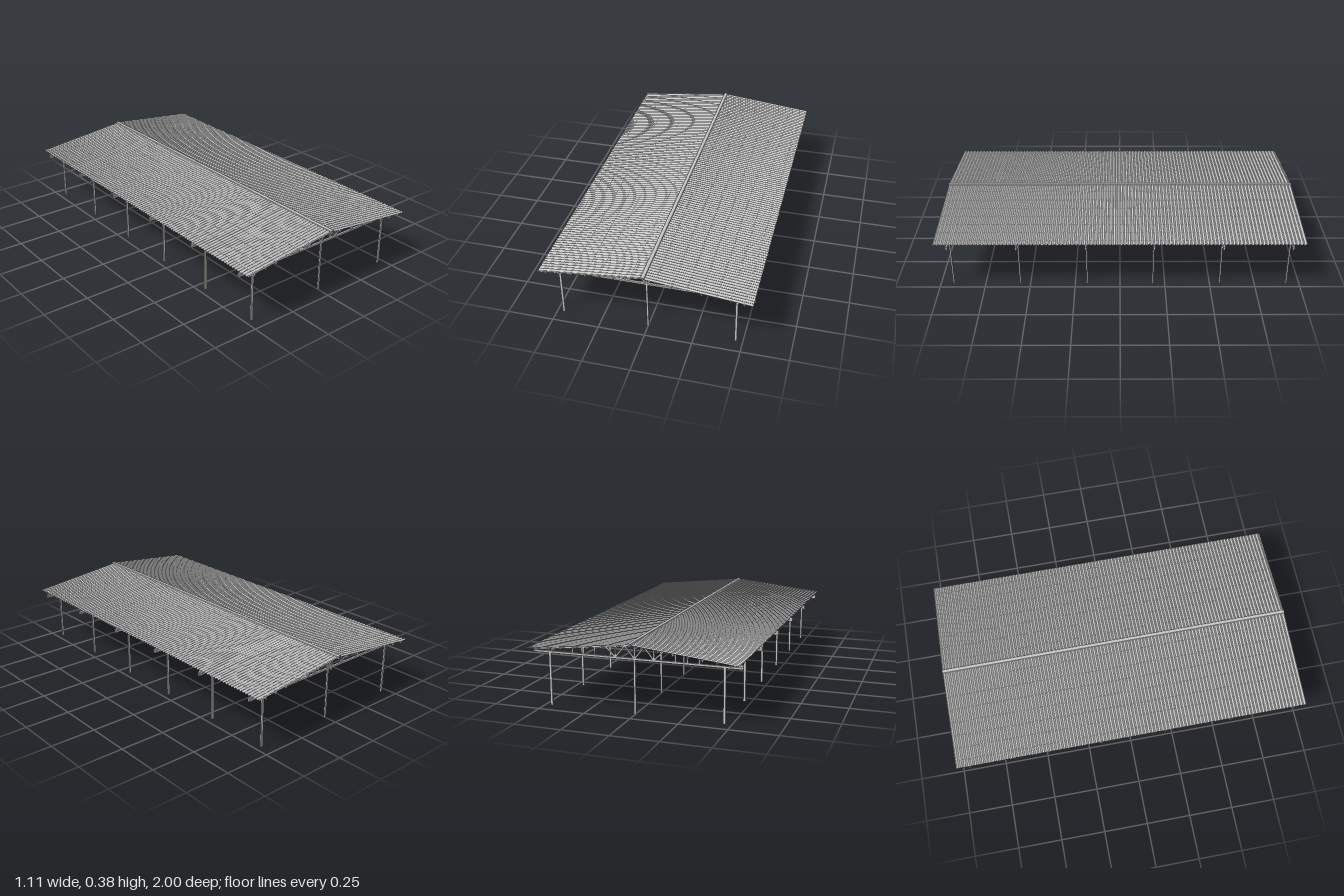
import * as THREE from 'three';

const HALF = 0.555;      // half span
const SLOPE = 0.108;     // roof fall per unit of x
const CHORD_TOP = 0.361; // top of the rafter at the ridge
const SHEET = 0.3695;    // underside of the roof sheet at the ridge
const LENGTH = 2;

export function createModel() {
  const steel = new THREE.MeshStandardMaterial({ color: 0xc8c8c8, side: THREE.DoubleSide });
  steel.name = 'grey steel';
  const model = new THREE.Group();
  model.name = 'openShed';

  const add = (parent, name, geometry, x = 0, y = 0, z = 0) => {
    const mesh = new THREE.Mesh(geometry, steel);
    mesh.name = name;
    mesh.position.set(x, y, z);
    parent.add(mesh);
    return mesh;
  };
  const box = (parent, name, w, h, d, x, y, z) =>
    add(parent, name, new THREE.BoxGeometry(w, h, d), x, y, z);
  // straight bar between two points in the truss plane
  const bar = (parent, name, x1, y1, x2, y2, w, d) => {
    const m = box(parent, name, Math.hypot(x2 - x1, y2 - y1), w, d, (x1 + x2) / 2, (y1 + y2) / 2, 0);
    m.rotation.z = Math.atan2(y2 - y1, x2 - x1);
  };
  const rafterY = (x) => CHORD_TOP - 0.006 - SLOPE * Math.abs(x);

  // rafter pair as one gabled outline
  const rafterShape = new THREE.Shape([
    [-HALF, 0.29], [0, 0.35], [HALF, 0.29],
    [HALF, CHORD_TOP - SLOPE * HALF], [0, CHORD_TOP], [-HALF, CHORD_TOP - SLOPE * HALF],
  ].map(([x, y]) => new THREE.Vector2(x, y)));
  const rafterGeometry = new THREE.ExtrudeGeometry(rafterShape, { depth: 0.009, bevelEnabled: false });
  rafterGeometry.translate(0, 0, -0.0045);

  // six frames: columns, chords and web members
  for (const z of [0.927, 0.556, 0.183, -0.183, -0.556, -0.927]) {
    const frame = new THREE.Group();
    frame.name = 'frame';
    frame.position.z = z;
    model.add(frame);

    for (const x of [-0.463, 0, 0.463])
      box(frame, 'column', x ? 0.012 : 0.01, 0.28, 0.008, x, 0.14, 0);
    box(frame, 'bottomChord', 2 * HALF, 0.009, 0.009, 0, 0.2838, 0);
    box(frame, 'bottomChordFlange', 2 * HALF, 0.0025, 0.011, 0, 0.2885, 0);
    add(frame, 'rafters', rafterGeometry);

    box(frame, 'kingPost', 0.007, 0.07, 0.006, 0, 0.32, 0);
    for (const s of [-1, 1]) {
      for (const x of [0.102, 0.214, 0.275, 0.336])
        bar(frame, 'webPost', s * x, 0.287, s * x, rafterY(x), 0.007, 0.006);
      for (const [top, foot] of [[0.155, 0.104], [0.052, 0.1], [0.052, 0.003]])
        bar(frame, 'webDiagonal', s * top, rafterY(top), s * foot, 0.289, 0.007, 0.006);
    }
  }

  // purlins along the whole length, resting on the rafters
  for (const x of [0.51, 0.442, 0.373, 0.298, 0.224, 0.149, 0.063]) {
    for (const s of [-1, 1])
      box(model, 'purlin', 0.006, 0.0105, LENGTH, s * x, (CHORD_TOP + SHEET) / 2 - SLOPE * x, 0);
  }
  box(model, 'ridgePurlin', 0.005, 0.011, LENGTH, 0, 0.3645, 0);

  // corrugated sheet: a plane waved along z and sheared down the slope
  const ribs = 100, wave = 0.0035;
  const sheetGeometry = new THREE.PlaneGeometry(HALF, LENGTH, 1, ribs * 8);
  sheetGeometry.rotateX(-Math.PI / 2).translate(HALF / 2, 0, 0);
  const p = sheetGeometry.attributes.position;
  for (let i = 0; i < p.count; i++) {
    const ripple = wave * Math.sin(p.getZ(i) * Math.PI * ribs);
    p.setY(i, SHEET + wave + ripple - SLOPE * p.getX(i));
  }
  sheetGeometry.computeVertexNormals();
  add(model, 'roofSheetLeft', sheetGeometry);
  add(model, 'roofSheetRight', sheetGeometry).rotation.y = Math.PI;

  // ridge cap
  const capShape = new THREE.Shape([
    [-0.011, 0.3745], [0.011, 0.3745], [0.009, 0.3785], [0.003, 0.381], [-0.003, 0.381], [-0.009, 0.3785],
  ].map(([x, y]) => new THREE.Vector2(x, y)));
  add(model, 'ridgeCap', new THREE.ExtrudeGeometry(capShape, { depth: LENGTH, bevelEnabled: false }),
    0, 0, -LENGTH / 2);

  return model;
}
